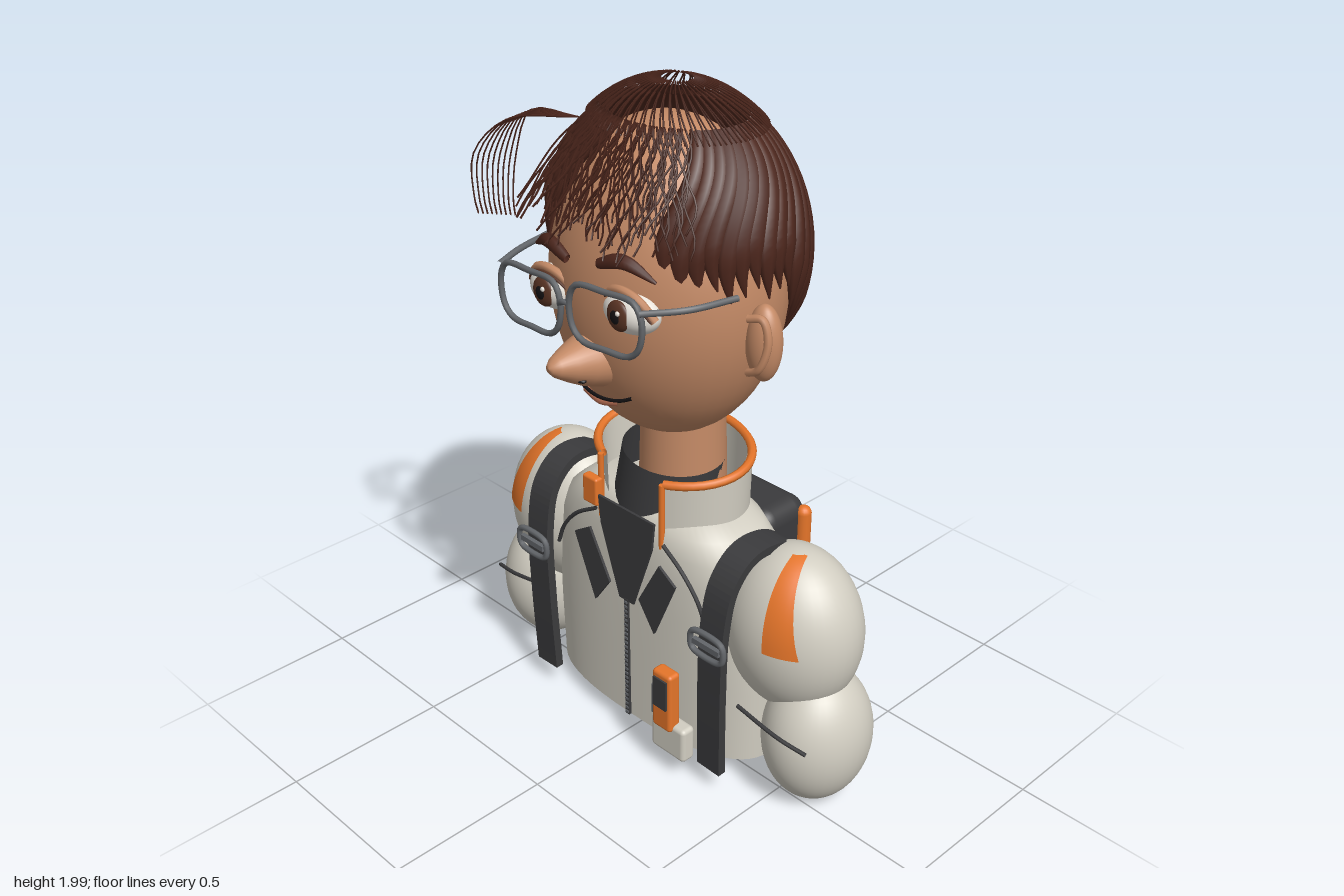
import * as THREE from 'three';
import { mergeGeometries } from 'three/addons/utils/BufferGeometryUtils.js';
import { RoundedBoxGeometry } from 'three/addons/geometries/RoundedBoxGeometry.js';

const V = (x, y, z) => new THREE.Vector3(x, y, z);
const mat = (name, color, side = THREE.FrontSide) => {
  const m = new THREE.MeshStandardMaterial({ color, side });
  m.name = name;
  return m;
};
const lerp = THREE.MathUtils.lerp;

// indexed surface from fn(u, v); v wraps round when closed
function surface(nu, nv, closed, fn) {
  const pos = [], idx = [], cols = closed ? nv : nv + 1;
  for (let i = 0; i <= nu; i++)
    for (let j = 0; j < cols; j++) pos.push(...fn(i / nu, j / nv, i).toArray());
  for (let i = 0; i < nu; i++)
    for (let j = 0; j < nv; j++) {
      const k = (j + 1) % cols, a = i * cols + j, b = i * cols + k, c = (i + 1) * cols + k, d = (i + 1) * cols + j;
      idx.push(a, b, c, a, c, d);
    }
  const g = new THREE.BufferGeometry();
  g.setAttribute('position', new THREE.Float32BufferAttribute(pos, 3));
  g.setIndex(idx);
  g.computeVertexNormals();
  return g;
}

// tapered lock swept along points, broad side facing out from a centre
function sweep(pts, width, thick, centre, sides) {
  const n = pts.length - 1;
  const frames = pts.map((p, i) => {
    const t = pts[Math.min(i + 1, n)].clone().sub(pts[Math.max(i - 1, 0)]).normalize();
    const out = p.clone().sub(centre);
    out.addScaledVector(t, -out.dot(t)).normalize();
    return { out, side: t.clone().cross(out) };
  });
  return surface(n, sides, true, (u, v, i) => {
    const a = v * Math.PI * 2, w = width(u);
    return pts[i].clone().addScaledVector(frames[i].out, Math.cos(a) * w * thick)
      .addScaledVector(frames[i].side, Math.sin(a) * w);
  });
}

export function createModel() {
  const root = new THREE.Group();
  root.name = 'bust';
  const suit = mat('suit white', 0xd2cec2, THREE.DoubleSide), orange = mat('orange', 0xe5752a, THREE.DoubleSide);
  const dark = mat('charcoal', 0x3b3b3d, THREE.DoubleSide), skin = mat('skin', 0xc48a66);
  const hair = mat('hair brown', 0x4c261c, THREE.DoubleSide), metal = mat('grey metal', 0x63666a);
  const white = mat('eye white', 0xe9e4dc), iris = mat('iris brown', 0x5a3424);
  const black = mat('pupil black', 0x141214), lip = mat('lip', 0xb06a50);

  const add = (name, g, m, x = 0, y = 0, z = 0) => {
    const mesh = new THREE.Mesh(g, m);
    mesh.name = name;
    mesh.position.set(x, y, z);
    root.add(mesh);
    return mesh;
  };
  const ball = (name, m, x, y, z, rx, ry, rz) =>
    add(name, new THREE.SphereGeometry(1, 40, 28), m, x, y, z).scale.set(rx, ry, rz);
  const tube = (name, m, pts, r, closed = false) =>
    add(name, new THREE.TubeGeometry(new THREE.CatmullRomCurve3(pts.map(p => V(...p)), closed), 40, r, 8, closed), m);
  const plate = (name, m, pts, z, depth = 0.008) =>
    add(name, new THREE.ExtrudeGeometry(new THREE.Shape(pts.map(p => new THREE.Vector2(...p))),
      { depth, bevelEnabled: false }), m, 0, 0, z);

  // torso: rows of [y, half width, half depth]
  const rows = [[0.065, 0.01, 0.01], [0.065, 0.42, 0.18], [0.065, 0.42, 0.18], [0.3, 0.43, 0.182], [0.5, 0.43, 0.183],
    [0.62, 0.41, 0.182], [0.7, 0.37, 0.18], [0.76, 0.3, 0.17], [0.8, 0.22, 0.14], [0.81, 0.01, 0.01]];
  const pw = s => Math.sign(s) * Math.abs(s) ** 0.78;
  add('torso', surface(rows.length - 1, 56, true, (u, v, i) => {
    const a = v * Math.PI * 2, [y, rx, rz] = rows[i];
    return V(pw(Math.sin(a)) * rx, y, -0.05 + pw(Math.cos(a)) * rz);
  }), suit);

  // collar, open at the front with a slanted top
  const ring = (a, y, r = 1) => V(Math.sin(a) * 0.25 * r, y, -0.055 - Math.cos(a) * 0.187 * r);
  const topY = a => 0.932 + 0.022 * Math.cos(a);
  const gap = Math.PI - 0.52;
  for (const r of [1, 0.93])
    add('collar', surface(6, 60, false, (u, v) => {
      const a = lerp(gap, -gap, v);
      return ring(a, lerp(0.69, topY(a), u), r * (0.98 + 0.03 * u));
    }), suit);
  const rim = [];
  for (let i = 0; i <= 40; i++) {
    const a = lerp(-gap, gap, i / 40);
    rim.push(ring(a, topY(a), 1).toArray());
  }
  tube('collarRim', orange, rim, 0.013);
  add('innerCollar', new THREE.CylinderGeometry(0.15, 0.165, 0.2, 40, 1, true), dark, 0, 0.83, -0.045).rotation.z = -0.12;
  plate('shirtPanel', dark, [[-0.115, 0.79], [0.115, 0.79], [0.105, 0.7], [0.03, 0.48], [-0.03, 0.48], [-0.105, 0.7]], 0.13);
  add('collarBuckle', new RoundedBoxGeometry(0.06, 0.09, 0.03, 2, 0.008), orange, -0.145, 0.795, 0.13);

  // zip with teeth
  add('zip', new THREE.BoxGeometry(0.016, 0.42, 0.012), dark, 0, 0.275, 0.133);
  for (let i = 0; i < 26; i++)
    add('zipTooth', new THREE.BoxGeometry(0.012, 0.007, 0.006), metal, 0, 0.075 + i * 0.016, 0.139);

  // backpack
  add('backpack', new RoundedBoxGeometry(0.5, 0.59, 0.2, 5, 0.055), dark, 0, 0.437, -0.277);

  // strap outline in the side plane
  const path = new THREE.CatmullRomCurve3([V(0.14, 0.075, 0), V(0.15, 0.35, 0), V(0.147, 0.58, 0), V(0.115, 0.71, 0),
    V(0.04, 0.775, 0), V(-0.08, 0.765, 0), V(-0.19, 0.68, 0)]).getPoints(40);
  const edge = s => path.map((p, i) => {
    const t = path[Math.min(i + 1, 40)].clone().sub(path[Math.max(i - 1, 0)]).normalize();
    return new THREE.Vector2(p.x + t.y * 0.013 * s, p.y - t.x * 0.013 * s);
  });
  const strap = new THREE.ExtrudeGeometry(new THREE.Shape([...edge(1), ...edge(-1).reverse()]),
    { depth: 0.088, bevelEnabled: false });
  strap.rotateY(-Math.PI / 2).translate(0.044, 0, 0);

  for (const s of [-1, 1]) {
    const side = s > 0 ? 'left' : 'right';
    ball(side + 'UpperArm', suit, s * 0.465, 0.53, -0.07, 0.212, 0.255, 0.178);
    ball(side + 'Forearm', suit, s * 0.57, 0.22, -0.07, 0.152, 0.215, 0.17);
    // painted shoulder flash lying on the upper arm
    add(side + 'ShoulderFlash', surface(14, 6, false, (u, v) => {
      const yy = lerp(0.06, 0.985, Math.sin(u * Math.PI / 2));
      const x = s * lerp(lerp(0.508, 0.475, u), lerp(0.605, 0.5, u), v), xx = (Math.abs(x) - 0.465) / 0.212;
      return V(x, 0.53 + 0.255 * yy * 1.01, -0.07 + 0.184 * Math.sqrt(Math.max(0, 1 - yy * yy - xx * xx)));
    }), orange);
    tube(side + 'SleeveSeam', dark, [[s * 0.66, 0.27, 0.086], [s * 0.57, 0.287, 0.102], [s * 0.42, 0.315, 0.105]], 0.006);
    tube(side + 'ChestPiping', dark, [[s * 0.14, 0.73, 0.125], [s * 0.22, 0.68, 0.13], [s * 0.28, 0.61, 0.128], [s * 0.31, 0.54, 0.125]], 0.006);
    plate(side + 'Lapel', dark, [[s * 0.21, 0.63], [s * 0.145, 0.672], [s * 0.062, 0.52], [s * 0.125, 0.43]], 0.14);
    add(side + 'CollarTrim', new THREE.CylinderGeometry(0.009, 0.009, 0.23, 10), orange, s * 0.125, 0.8, 0.115);
    add(side + 'Strap', strap, dark, s * 0.353, 0, 0).rotation.z = s * -0.025;
    add(side + 'PackTube', new THREE.CapsuleGeometry(0.024, 0.44, 6, 16), orange, s * 0.25, 0.465, -0.345);
    // strap buckle
    const hw = 0.06, hh = 0.034, bx = s * 0.368;
    tube(side + 'Buckle', metal, [[-hw, -hh + 0.012], [-hw + 0.015, -hh], [hw - 0.015, -hh], [hw, -hh + 0.012], [hw, hh - 0.012],
      [hw - 0.015, hh], [-hw + 0.015, hh], [-hw, hh - 0.012]].map(([x, y]) => [bx + x, 0.53 + y, 0.18]), 0.009, true);
    add(side + 'BuckleBar', new THREE.BoxGeometry(0.1, 0.018, 0.014), metal, bx, 0.53, 0.18);
  }

  // pocket with radio
  add('pocket', new RoundedBoxGeometry(0.135, 0.115, 0.05, 3, 0.014), suit, 0.228, 0.135, 0.17);
  add('radio', new RoundedBoxGeometry(0.075, 0.2, 0.045, 3, 0.012), orange, 0.215, 0.27, 0.185);
  add('radioScreen', new THREE.BoxGeometry(0.052, 0.1, 0.009), dark, 0.215, 0.3, 0.209);
  add('radioAerial', new THREE.CylinderGeometry(0.007, 0.007, 0.1, 10), metal, 0.17, 0.25, 0.19);

  // neck, head and ears
  add('neck', new THREE.CylinderGeometry(0.12, 0.13, 0.36, 32), skin, 0.032, 0.9, -0.06);
  ball('head', skin, 0, 1.46, -0.03, 0.348, 0.45, 0.3);
  for (const [x, y] of [[-0.365, 1.345], [0.37, 1.39]]) {
    const s = Math.sign(x);
    ball('ear', skin, x, y, -0.012, 0.052, 0.108, 0.045);
    tube('earRim', skin, [[x - s * 0.02, y - 0.08, 0.025], [x + s * 0.022, y - 0.055, 0.03], [x + s * 0.042, y + 0.02, 0.02],
      [x + s * 0.022, y + 0.08, 0.02], [x - s * 0.02, y + 0.075, 0.03]], 0.011);
  }

  // nose and mouth
  const nose = new THREE.LatheGeometry([[0.1, 0], [0.085, 0.05], [0.06, 0.1], [0.036, 0.14], [0.018, 0.158], [0.0001, 0.163]]
    .map(p => new THREE.Vector2(...p)), 28);
  nose.rotateX(Math.PI / 2).scale(0.85, 0.8, 1);
  add('nose', nose, skin, -0.015, 1.295, 0.225).rotation.x = -0.12;
  for (const s of [-1, 1]) ball('nostril', black, -0.015 + s * 0.035, 1.268, 0.307, 0.018, 0.007, 0.012);
  tube('mouth', black, [[-0.12, 1.2, 0.205], [-0.07, 1.187, 0.218], [0, 1.183, 0.227], [0.07, 1.194, 0.221], [0.115, 1.215, 0.213]], 0.005);
  tube('lowerLip', lip, [[-0.07, 1.177, 0.212], [0, 1.168, 0.221], [0.065, 1.183, 0.215]], 0.009);

  // eyes, brows and glasses: [x, y, lens centre x, lens centre y]
  for (const [x, y, lx, ly] of [[-0.16, 1.453, -0.172, 1.44], [0.13, 1.477, 0.122, 1.472]]) {
    const s = Math.sign(x);
    ball('eyeball', white, x, y, 0.222, 0.09, 0.06, 0.062);
    ball('iris', iris, x, y, 0.272, 0.04, 0.042, 0.016);
    ball('pupil', black, x, y, 0.281, 0.02, 0.022, 0.01);
    ball('eyeGlint', white, x + 0.012, y + 0.014, 0.287, 0.007, 0.007, 0.005);
    tube('upperLid', skin, [[x - 0.092, y, 0.232], [x - 0.05, y + 0.05, 0.25], [x, y + 0.064, 0.256], [x + 0.05, y + 0.05, 0.25], [x + 0.092, y, 0.232]], 0.012);
    tube('lashLine', iris, [[x - 0.09, y, 0.243], [x - 0.05, y + 0.042, 0.264], [x, y + 0.055, 0.269], [x + 0.05, y + 0.042, 0.264], [x + 0.09, y, 0.243]], 0.004);
    const by = y + 0.115, brow = new THREE.CatmullRomCurve3([V(x - s * 0.085, by, 0.262), V(x, by + 0.025, 0.252), V(x + s * 0.085, by - 0.015, 0.222)]).getPoints(16);
    add('eyebrow', sweep(brow, u => 0.004 + 0.016 * Math.sin(Math.PI * (0.2 + 0.8 * u)), 0.7, V(0, 1.45, 0), 8), hair);
    const w = 0.128, h = 0.08;
    tube('lensRim', metal, [[-w, 0.03], [-w + 0.01, -0.045], [-w + 0.045, -h + 0.004], [0, -h], [w - 0.045, -h + 0.004], [w - 0.01, -0.045],
      [w, 0.03], [w - 0.025, h - 0.006], [0, h], [-w + 0.025, h - 0.006]].map(([a, b]) => [lx + a, ly + b + a * 0.05, 0.318 - Math.abs(lx + a) * 0.05]), 0.0085, true);
    tube('temple', metal, [[lx + s * 0.125, ly + 0.06, 0.31], [s * 0.325, ly + 0.068, 0.22], [s * 0.36, ly + 0.068, 0.08]], 0.009);
  }
  tube('bridge', metal, [[-0.046, 1.47, 0.318], [-0.025, 1.482, 0.322], [-0.005, 1.482, 0.318]], 0.008);

  // hair: broad locks swirling down from the crown
  const centre = V(-0.01, 1.56, -0.07);
  const scalp = (a, p, k) => V(-0.01 + 0.4 * k * Math.sin(p) * Math.sin(a), 1.56 + 0.435 * k * Math.cos(p), -0.07 + 0.32 * k * Math.sin(p) * Math.cos(a));
  const locks = [], threads = [], N = 54;
  for (let i = 0; i < N; i++) {
    const a0 = -Math.PI + (i + 0.5) / N * Math.PI * 2, aa = Math.abs(a0);
    if (aa < 0.62) continue;
    const yEnd = lerp(1.5, 1.21, THREE.MathUtils.smoothstep(aa, 1.55, 2.35)) + (i % 3) * 0.02;
    const pEnd = Math.acos((yEnd - 1.56) / 0.435), pts = [];
    for (let k = 0; k <= 22; k++) {
      const t = k / 22;
      pts.push(scalp(a0 + 0.32 * (1 - t) ** 2 + 0.06 * Math.sin(t * 6.3), lerp(0.58, pEnd, t), 0.945));
    }
    locks.push(sweep(pts, u => 0.031 * Math.sin(lerp(0.58, pEnd, u)) ** 0.6 * Math.min(1, (1 - u) * 3.5 + 0.08), 0.7, centre, 8));
  }
  add('hairLocks', mergeGeometries(locks), hair);

  // fine threads over the open crown
  const thread = (pts, r = 0.0028) => threads.push(sweep(pts, () => r, 1, centre, 3));
  for (let i = 0; i < 96; i++) {
    const a = i / 96 * Math.PI * 2, pts = [];
    for (let k = 0; k <= 6; k++) pts.push(scalp(a + k * 0.03, lerp(i % 2 ? 0.12 : 0.3, 0.72, k / 6), 1));
    thread(pts);
  }
  // thin fringe over the forehead, some of it lifting forward
  for (let i = 0; i < 90; i++) {
    const f = i / 89, a = lerp(-0.8, 0.8, f), pts = [], lift = (i % 3 === 0 ? 0.1 : 0.012), stop = 1.3 + 0.1 * Math.sin(i * 2.3);
    for (let k = 0; k <= 12; k++) {
      const t = k / 12;
      const p = scalp(a + 0.05 * Math.sin(t * 9 + i), lerp(0.6, stop, t), 1);
      p.z += lift * t * t;
      pts.push(p);
    }
    thread(pts, 0.0032);
  }
  // loose wisps at the model's right temple
  for (let i = 0; i < 9; i++) {
    const k = i / 8;
    thread(new THREE.CatmullRomCurve3([V(-0.2, 1.88, 0.1), V(-0.32 - 0.03 * k, 1.885 - 0.02 * k, 0.16 + 0.06 * k),
      V(-0.34 - 0.08 * k, 1.77, 0.2 + 0.08 * k), V(-0.31 - 0.09 * k, 1.66, 0.24 + 0.06 * k), V(-0.28 - 0.08 * k, 1.63, 0.26 + 0.06 * k)]).getPoints(16));
  }
  add('hairThreads', mergeGeometries(threads), hair);
  return root;
}
